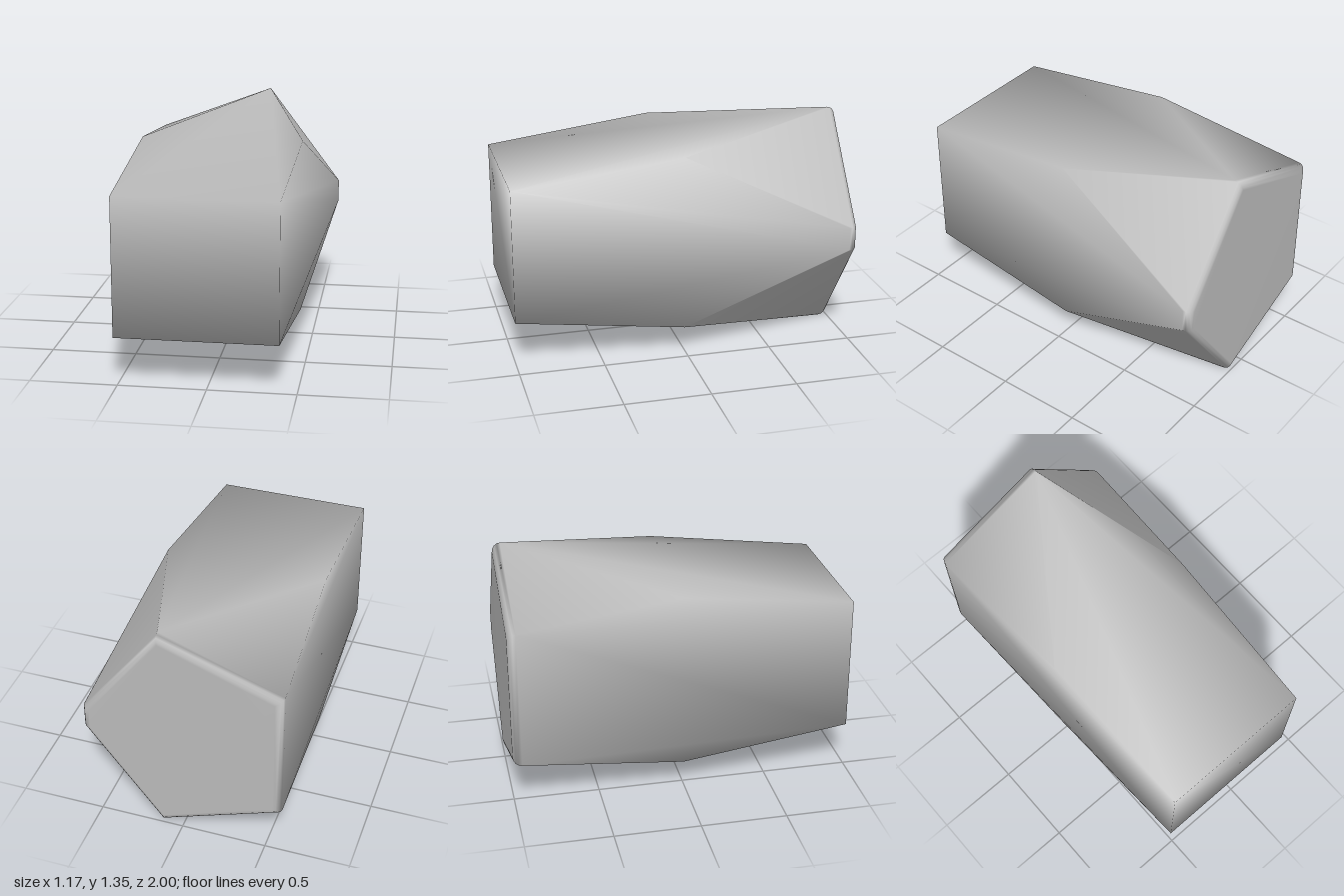
import * as THREE from 'three';
import { mergeVertices } from 'three/addons/utils/BufferGeometryUtils.js';
import { ConvexGeometry } from 'three/addons/geometries/ConvexGeometry.js';

const MID_Y = 0.677;
const BEVEL = 0.05;
const BEVEL_STEPS = 4;

// Upper half of each cross-section as [x, height above the middle]
const FRONT = [[-0.52, 0.4], [0.4, 0.4]];
const WAIST = [[-0.54, 0.525], [0.425, 0.525]];
const BACK = [[-0.585, 0.41], [0.125, 0.677], [0.585, 0.068]];

// Mirrors a half section top to bottom at depth z, optionally shrunk
function section(half, z, scale = 1) {
  return half.flatMap(([x, h]) => [1, -1].map(
    (side) => new THREE.Vector3(x * scale, MID_Y + side * h * scale, z)));
}

export function createModel() {
  const grey = new THREE.MeshStandardMaterial({ color: 0xbcbcbc });
  grey.name = 'stone grey';

  // Square front and waist, six-cornered back with a rounded rim
  const points = [...section(FRONT, 1), ...section(WAIST, 0)];
  for (let i = 0; i <= BEVEL_STEPS; i++) {
    const a = (i / BEVEL_STEPS) * Math.PI / 2;
    const inset = BEVEL * (1 - Math.cos(a));
    points.push(...section(BACK, -1 + BEVEL * (1 - Math.sin(a)), 1 - inset / 0.65));
  }

  // Weld the hull so its shading is smooth all over
  let geometry = new ConvexGeometry(points);
  geometry.deleteAttribute('normal');
  geometry = mergeVertices(geometry, 1e-4);
  geometry.computeVertexNormals();

  const body = new THREE.Mesh(geometry, grey);
  body.name = 'taperedBody';

  const group = new THREE.Group();
  group.name = 'facetedBlock';
  group.add(body);
  return group;
}
